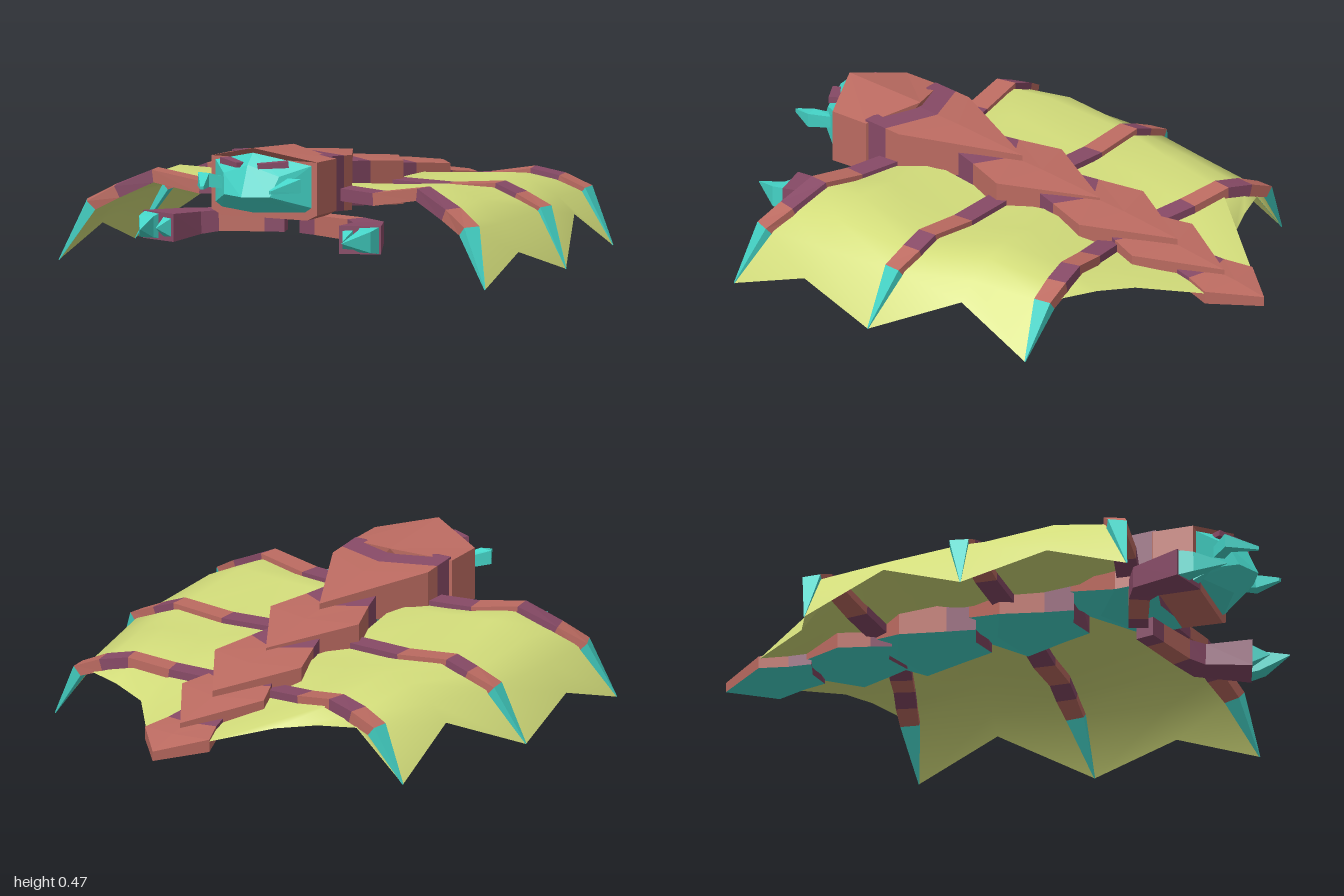
import * as THREE from 'three';
import { mergeVertices } from 'three/addons/utils/BufferGeometryUtils.js';

const V = (p) => new THREE.Vector3(...p);

// Geometry from outward-facing quads; side -1 mirrors it across x = 0
function quadGeometry(quads, side = 1) {
  const pos = [];
  for (const quad of quads) {
    let q = quad.map((p) => [p[0] * side, p[1], p[2]]);
    if (side < 0) q.reverse();
    q = q.filter((p, i) => V(p).distanceTo(V(q[(i + 1) % q.length])) > 1e-5);
    for (let i = 1; i < q.length - 1; i++) pos.push(...q[0], ...q[i], ...q[i + 1]);
  }
  const g = new THREE.BufferGeometry();
  g.setAttribute('position', new THREE.Float32BufferAttribute(pos, 3));
  g.computeVertexNormals();
  return g;
}

// Quads joining two rings
const bridge = (a, b) => a.map((p, i) => {
  const j = (i + 1) % a.length;
  return [p, a[j], b[j], b[i]];
});

export function createModel() {
  const model = new THREE.Group();
  model.name = 'armouredCrawler';
  const mat = (name, color, extra = {}) => {
    const m = new THREE.MeshStandardMaterial({ color, ...extra });
    m.name = name;
    return m;
  };
  const red = mat('shellRed', 0xbc6b61);
  const purple = mat('bandPurple', 0x874a66);
  const teal = mat('clawTeal', 0x45d6c9);
  const lime = mat('membraneLime', 0xd2dc7a, { side: THREE.DoubleSide });

  const add = (name, material, quads, side = 1) => {
    const mesh = new THREE.Mesh(quadGeometry(quads, side), material);
    mesh.name = name;
    model.add(mesh);
  };

  // Four-sided jointed limb; each point is [x, y, z, width, height]
  function limb(name, pts, colours, side) {
    const dirs = pts.slice(1).map((p, i) => V(p.slice(0, 3)).sub(V(pts[i].slice(0, 3))).normalize());
    const rings = pts.map((p, i) => {
      const t = (dirs[i - 1] || dirs[0]).clone().add(dirs[i] || dirs[dirs.length - 1]).normalize();
      const h = new THREE.Vector3(t.z, 0, -t.x).normalize();
      const n = t.clone().cross(h);
      return [[1, 1], [-1, 1], [-1, -1], [1, -1]].map(([a, b]) =>
        V(p.slice(0, 3)).addScaledVector(h, a * p[3] / 2).addScaledVector(n, b * p[4] / 2).toArray());
    });
    colours.forEach((c, i) => {
      const quads = bridge(rings[i], rings[i + 1]);
      if (i === 0) quads.push([...rings[0]].reverse());
      if (i === colours.length - 1) quads.push(rings[i + 1]);
      add(name, c, quads, side);
    });
  }

  // Overlapping back plates: half width, edge z and ridge z per section, front to tip
  const plates = [
    { top: [0.43, 0.375], s: [[0.2, 0.64, 0.6], [0.2, 0.55, 0.475], [0.2, 0.49, 0.38], [0, 0.09, 0.09]] },
    { top: [0.365, 0.31], s: [[0.1, 0.31, 0.28], [0.13, 0.21, 0.13], [0.185, 0.06, 0], [0, -0.26, -0.26]] },
    { top: [0.315, 0.25], s: [[0.1, -0.05, -0.08], [0.13, -0.15, -0.23], [0.182, -0.31, -0.37], [0, -0.61, -0.61]] },
    { top: [0.25, 0.19], s: [[0.1, -0.36, -0.4], [0.13, -0.43, -0.5], [0.172, -0.54, -0.6], [0, -0.82, -0.82]] },
    { top: [0.185, 0.135], s: [[0.085, -0.66, -0.68], [0.1, -0.74, -0.77], [0.135, -0.84, -0.87], [0, -1, -1]] },
  ];
  const bellyY = (z) => 0.1 + (z + 1) * 0.08;
  plates.forEach(({ top, s }, k) => {
    const z0 = s[0][1], z1 = s[3][1];
    const rings = s.map(([w, ze, zc]) => {
      const y = (z) => top[0] + (top[1] - top[0]) * (z0 - z) / (z0 - z1);
      const b = w ? bellyY(ze) : Math.max(bellyY(ze), y(ze) - 0.035);
      const e = y(ze);
      const c = y(zc) + (w ? 0.01 : 0);
      return [[0, c, zc], [w, e, ze], [w, b, ze], [0, b, zc], [-w, b, ze], [-w, e, ze]];
    });
    const shell = [], band = [], belly = [];
    for (let i = 0; i < 3; i++) {
      bridge(rings[i], rings[i + 1]).forEach((q, j) => {
        (j === 2 || j === 3 ? belly : i === 0 ? band : shell).push(q);
      });
    }
    band.push([...rings[0]].reverse());
    add('backPlate' + (k + 1), red, shell);
    add('plateBand' + (k + 1), purple, band);
    add('belly' + (k + 1), teal, belly);
  });

  // Head block with a pitched roof
  const headRing = (yc, ye, yb, zc, ze) => [[0, yc, zc], [0.21, ye, ze], [0.21, yb + 0.02, ze],
    [0.17, yb, ze], [-0.17, yb, ze], [-0.21, yb + 0.02, ze], [-0.21, ye, ze]];
  const front = headRing(0.475, 0.425, 0.215, 0.87, 0.78);
  const rear = headRing(0.45, 0.42, 0.215, 0.55, 0.63);
  add('head', red, [...bridge(front, rear), [...front].reverse(), rear]);

  // Faceted face bulging out of the head
  for (const side of [1, -1]) {
    const rim = [[0, 0.458, 0.868], [0.19, 0.412, 0.785], [0.19, 0.262, 0.785], [0.165, 0.245, 0.785], [0, 0.245, 0.87]];
    const inner = [[0, 0.42, 0.91], [0.11, 0.38, 0.88], [0.09, 0.31, 0.915], [0.09, 0.31, 0.915], [0, 0.31, 0.96]];
    const quads = [[inner[0], inner[4], inner[2], inner[1]], [rim[4], [0, 0.245, 0.775], [0.165, 0.245, 0.775], rim[3]]];
    for (let i = 0; i < 4; i++) quads.push([rim[i], inner[i], inner[i + 1], rim[i + 1]]);
    add('face', teal, quads, side);
    limb('eye', [[0.035, 0.416, 0.9, 0.03, 0.018], [0.125, 0.421, 0.84, 0.04, 0.022]], [purple], side);
    limb('mandible', [[0.12, 0.34, 0.84, 0.04, 0.04], [0.18, 0.355, 0.9, 0.05, 0.05], [0.135, 0.34, 1, 0.012, 0.012]],
      [teal, teal], side);
  }

  // Leg joints from the body to the claw tip
  const legs = {
    frontLeg: [[0.17, 0.285, 0.53], [0.35, 0.28, 0.57], [0.53, 0.31, 0.585], [0.66, 0.25, 0.62], [0.75, 0.2, 0.655], [0.845, 0.003, 0.72]],
    middleLeg: [[0.14, 0.255, 0.07], [0.37, 0.25, 0.065], [0.57, 0.268, 0.065], [0.65, 0.238, 0.068], [0.745, 0.2, 0.075], [0.855, 0.003, 0.11]],
    rearLeg: [[0.12, 0.205, -0.4], [0.28, 0.22, -0.435], [0.43, 0.245, -0.468], [0.53, 0.225, -0.488], [0.62, 0.19, -0.5], [0.73, 0.003, -0.5]],
  };
  const widths = [0.08, 0.08, 0.075, 0.075, 0.068, 0.003];
  const heights = [0.045, 0.045, 0.045, 0.045, 0.042, 0.003];

  // Membrane sections: along each leg, with raised folds between
  const sections = [
    legs.frontLeg,
    [[0.12, 0.3, 0.4], [0.35, 0.31, 0.4], [0.53, 0.323, 0.4], [0.66, 0.275, 0.4], [0.755, 0.2, 0.41], [0.825, 0.1, 0.42]],
    legs.middleLeg,
    [[0.1, 0.265, -0.18], [0.3, 0.275, -0.19], [0.46, 0.285, -0.2], [0.56, 0.26, -0.2], [0.66, 0.21, -0.21], [0.725, 0.15, -0.21]],
    legs.rearLeg,
    [[0.06, 0.15, -0.8], [0.13, 0.15, -0.84], [0.28, 0.17, -0.64], [0.42, 0.19, -0.58], [0.55, 0.195, -0.53], [0.62, 0.18, -0.51]],
  ];
  const sheet = [];
  for (let i = 0; i < sections.length - 1; i++) {
    for (let j = 0; j < 5; j++) {
      sheet.push([sections[i][j], sections[i][j + 1], sections[i + 1][j + 1], sections[i + 1][j]]);
    }
  }

  for (const side of [1, -1]) {
    for (const [name, pts] of Object.entries(legs)) {
      limb(name, pts.map((p, i) => [...p, widths[i], heights[i]]), [purple, red, purple, red, teal], side);
    }

    // Smooth webbed membrane
    const flat = quadGeometry(sheet, side);
    flat.deleteAttribute('normal');
    const web = mergeVertices(flat, 1e-4);
    web.computeVertexNormals();
    const mesh = new THREE.Mesh(web, lime);
    mesh.name = 'membrane';
    model.add(mesh);

    // Pincer arm
    limb('arm', [[0.04, 0.17, 0.53, 0.07, 0.07], [0.11, 0.17, 0.55, 0.07, 0.07], [0.27, 0.17, 0.6, 0.075, 0.075],
      [0.345, 0.165, 0.645, 0.11, 0.08], [0.4, 0.165, 0.82, 0.15, 0.1]], [purple, red, purple, purple], side);
    limb('outerPincer', [[0.43, 0.165, 0.8, 0.07, 0.095], [0.432, 0.165, 0.85, 0.055, 0.075], [0.4, 0.17, 0.96, 0.003, 0.003]],
      [teal, teal], side);
    limb('innerPincer', [[0.355, 0.165, 0.82, 0.045, 0.08], [0.37, 0.168, 0.895, 0.003, 0.003]], [teal], side);
  }
  return model;
}
